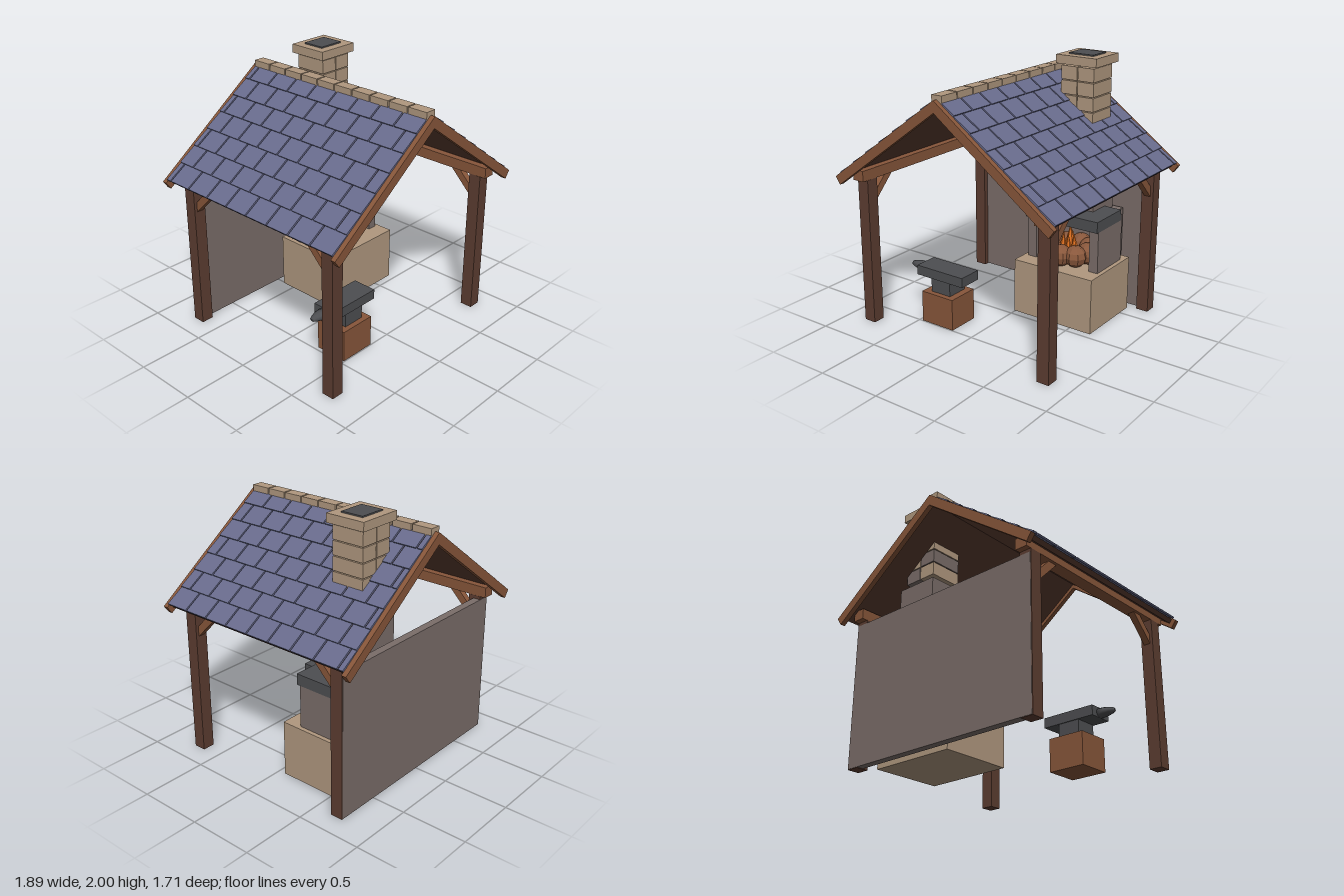
import * as THREE from 'three';

const mat = (name, color) => {
  const m = new THREE.MeshStandardMaterial({ color });
  m.name = name;
  return m;
};

export function createModel() {
  const model = new THREE.Group();
  model.name = 'forgeShelter';

  const darkWood = mat('dark wood', 0x5c3d31);
  const wood = mat('warm wood', 0x87563a);
  const slate = mat('blue slate', 0x686b8c);
  const stone = mat('tan stone', 0xb0987f);
  const greyStone = mat('grey stone', 0x7a6d69);
  const iron = mat('iron', 0x4d4e51);
  const flame = mat('flame', 0xe0701f);
  flame.flatShading = true;
  const coal = mat('ember rock', 0x8a583c);
  coal.flatShading = true;

  const add = (name, geo, material, parent = model) => {
    const mesh = new THREE.Mesh(geo, material);
    mesh.name = name;
    parent.add(mesh);
    return mesh;
  };
  // Box given by its minimum and maximum on each axis
  const box = (name, material, x0, x1, y0, y1, z0, z1, parent = model) => {
    const m = add(name, new THREE.BoxGeometry(x1 - x0, y1 - y0, z1 - z0), material, parent);
    m.position.set((x0 + x1) / 2, (y0 + y1) / 2, (z0 + z1) / 2);
    return m;
  };

  // Timber frame: posts, plates and diagonal braces
  for (const s of [-1, 1]) {
    const x = s * 0.792;
    box('wallPlate', wood, x - 0.047, x + 0.047, 1.13, 1.21, -0.78, 0.78);
    for (const t of [-1, 1]) {
      const z = t * 0.688;
      box('post', darkWood, x - 0.048, x + 0.048, 0, 1.13, z - 0.048, z + 0.048);
      const brace = add('brace', new THREE.BoxGeometry(0.05, 0.055, 0.3), wood);
      brace.position.set(x, 1.055, t * 0.565);
      brace.rotation.x = t * Math.PI / 4;
    }
  }
  box('backWall', greyStone, -0.835, 0.835, 0.003, 1.105, -0.739, -0.68);

  // Roof: deck and staggered slates on each slope
  const slope = Math.atan(0.729);
  const rows = 7, rowLength = 0.1625, half = 0.825, tileWidth = 0.2, gap = 0.012;
  for (const s of [-1, 1]) {
    const side = new THREE.Group();
    side.name = s > 0 ? 'leftRoof' : 'rightRoof';
    side.position.y = 1.843;
    side.rotation.z = -s * slope;
    model.add(side);
    const deck = add('roofDeck', new THREE.BoxGeometry(1.13, 0.036, 1.64), darkWood, side);
    deck.position.set(s * 0.565, -0.022, 0);
    for (let r = 0; r < rows; r++) {
      const cuts = [half];
      for (let z = half - tileWidth * (r % 2 ? 0.5 : 1); z > -half; z -= tileWidth) cuts.push(z);
      cuts.push(-half);
      for (let i = 0; i < cuts.length - 1; i++) {
        const width = cuts[i] - cuts[i + 1] - gap;
        const tile = add('roofSlate', new THREE.BoxGeometry(rowLength + 0.008, 0.014, width), slate, side);
        tile.position.set(s * (r + 0.5) * rowLength, 0.006, (cuts[i] + cuts[i + 1]) / 2);
        tile.rotation.z = s * 0.055;
      }
    }
  }

  // Gable boards
  const gable = new THREE.Shape([
    [0, 1.845], [-0.943, 1.158], [-0.903, 1.102], [0, 1.76], [0.903, 1.102], [0.943, 1.158],
  ].map(([x, y]) => new THREE.Vector2(x, y)));
  for (const z of [-0.855, 0.817]) {
    const board = add('gableBoard', new THREE.ExtrudeGeometry(gable, { depth: 0.038, bevelEnabled: false }), wood);
    board.position.z = z;
  }

  // Ridge stones
  for (let i = 0; i < 10; i++) {
    const z = -half + 0.165 * i;
    box('ridgeStone', stone, -0.043, 0.043, 1.815, 1.873, z + 0.005, z + 0.16);
  }

  // Chimney: five courses of paired blocks, cap and flue
  for (let r = 0; r < 5; r++) {
    const y = 1.38 + r * 0.1075;
    for (let c = 0; c < 2; c++) {
      const x = 0.2 + c * 0.141;
      const grey = (r === 0 && c === 1) || (r === 1 && c === 0);
      box('chimneyBlock', grey ? greyStone : stone, x, x + 0.134, y, y + 0.1, -0.6, -0.345);
    }
  }
  box('chimneyCap', stone, 0.168, 0.508, 1.925, 1.99, -0.63, -0.318);
  box('chimneyFlue', iron, 0.235, 0.44, 1.93, 2, -0.565, -0.388);

  // Forge hearth
  box('hearthBase', stone, -0.007, 0.677, 0, 0.43, -0.61, -0.055);
  box('hearthCheek', greyStone, 0.025, 0.1, 0.43, 0.8, -0.53, -0.19);
  box('hearthCheek', greyStone, 0.57, 0.645, 0.43, 0.8, -0.53, -0.19);
  box('hearthBack', greyStone, 0.09, 0.58, 0.41, 0.8, -0.66, -0.5);
  box('hearthHood', iron, 0.02, 0.648, 0.755, 0.84, -0.51, -0.165);
  box('smokeStack', greyStone, 0.17, 0.503, 0.79, 1.33, -0.63, -0.342);

  // Fire: ring of rocks around leaning flames
  const fire = new THREE.Group();
  fire.name = 'fire';
  fire.position.set(0.335, 0.43, -0.315);
  model.add(fire);
  for (let i = 0; i < 8; i++) {
    const a = i * Math.PI / 4;
    const rock = add('emberRock', new THREE.SphereGeometry(0.09, 8, 6), coal, fire);
    rock.scale.y = 0.92;
    rock.position.set(Math.sin(a) * 0.147, 0.082, Math.cos(a) * 0.147);
    rock.rotation.y = a;
  }
  const flames = [[-0.01, 0, 0.285, 0.07], [0.05, 0.03, 0.23, 0.055], [-0.055, 0.03, 0.23, 0.05],
    [0.02, 0.07, 0.24, 0.05], [-0.03, -0.06, 0.22, 0.055]];
  for (const [x, z, h, r] of flames) {
    const tongue = add('flame', new THREE.ConeGeometry(r, h, 6), flame, fire);
    tongue.position.set(x, h / 2, z);
    tongue.rotation.z = x * 1.5;
  }

  // Anvil on its wooden block
  box('anvilBlock', wood, -0.47, -0.18, 0, 0.245, 0.238, 0.495);
  box('anvilWaist', iron, -0.41, -0.235, 0.245, 0.36, 0.28, 0.453);
  box('anvilTop', iron, -0.54, -0.11, 0.353, 0.428, 0.272, 0.462);
  const hornProfile = [[0, 0], [0.036, 0], [0.034, 0.05], [0.026, 0.09], [0.016, 0.12], [0, 0.125]];
  const horn = add('anvilHorn',
    new THREE.LatheGeometry(hornProfile.map(([r, y]) => new THREE.Vector2(r, y)), 10), iron);
  horn.position.set(-0.538, 0.388, 0.367);
  horn.rotation.z = Math.PI / 2;
  horn.scale.z = 1.3;

  return model;
}
